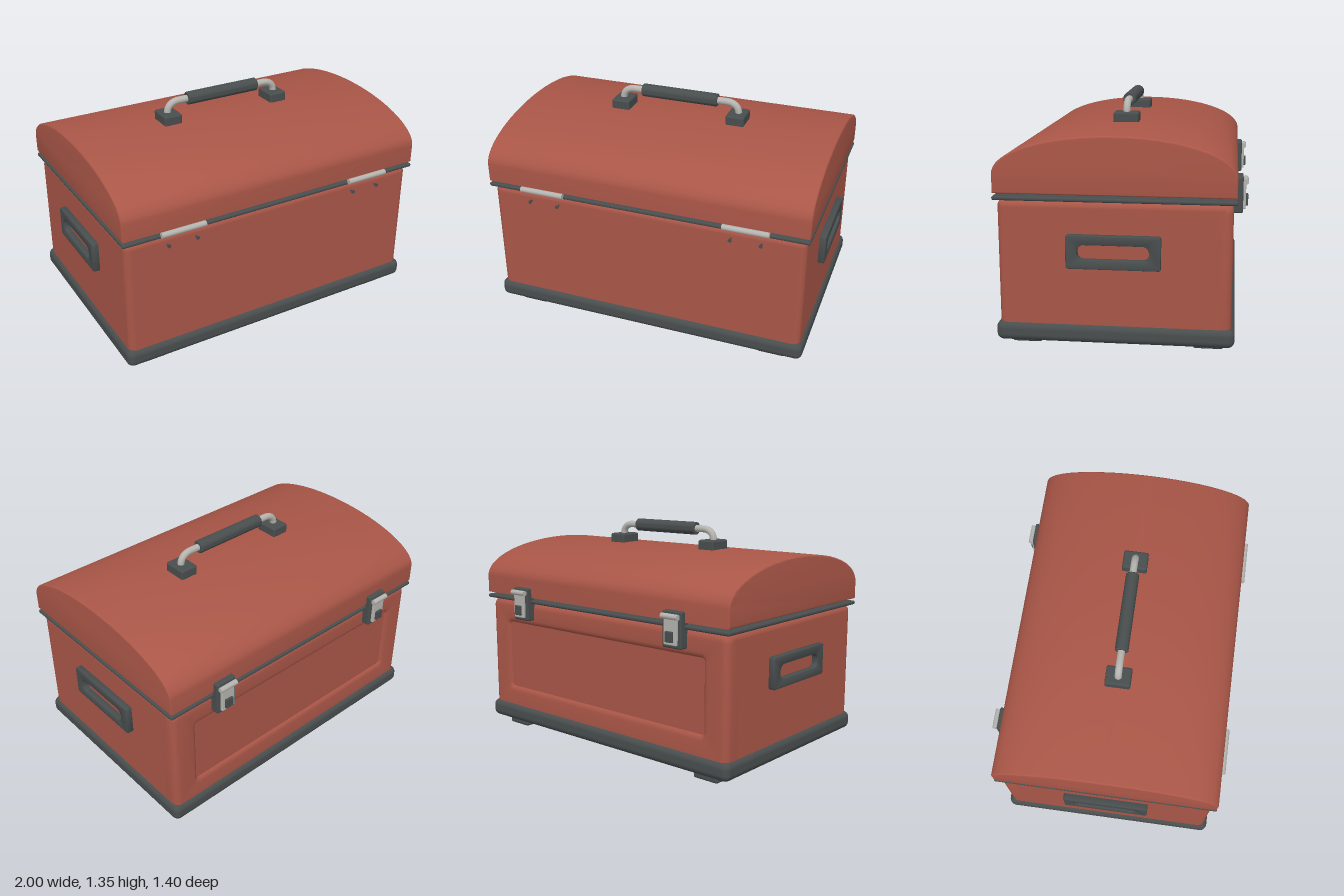
import * as THREE from 'three';
import { toCreasedNormals } from 'three/addons/utils/BufferGeometryUtils.js';
import { RoundedBoxGeometry } from 'three/addons/geometries/RoundedBoxGeometry.js';

const ZC = 0.017; // middle of the case, front to back

function roundedRect(path, x0, y0, x1, y1, r) {
  path.moveTo(x0 + r, y0);
  path.lineTo(x1 - r, y0);
  path.absarc(x1 - r, y0 + r, r, -Math.PI / 2, 0, false);
  path.lineTo(x1, y1 - r);
  path.absarc(x1 - r, y1 - r, r, 0, Math.PI / 2, false);
  path.lineTo(x0 + r, y1);
  path.absarc(x0 + r, y1 - r, r, Math.PI / 2, Math.PI, false);
  path.lineTo(x0, y0 + r);
  path.absarc(x0 + r, y0 + r, r, Math.PI, Math.PI * 1.5, false);
  return path;
}

export function createModel() {
  const red = new THREE.MeshStandardMaterial({ color: 0xa95647 });
  red.name = 'red paint';
  const dark = new THREE.MeshStandardMaterial({ color: 0x484d4e });
  dark.name = 'dark plastic';
  const steel = new THREE.MeshStandardMaterial({ color: 0xb4b3ae });
  steel.name = 'steel';

  const model = new THREE.Group();
  model.name = 'toolChest';

  const add = (name, geometry, material, x = 0, y = 0, z = 0, parent = model) => {
    const mesh = new THREE.Mesh(geometry, material);
    mesh.name = name;
    mesh.position.set(x, y, z);
    parent.add(mesh);
    return mesh;
  };

  // Rounded box given by its limits on each axis
  const block = (name, material, [x0, x1], [y0, y1], [z0, z1], r, parent = model) =>
    add(name, new RoundedBoxGeometry(x1 - x0, y1 - y0, z1 - z0, 4, r), material,
      (x0 + x1) / 2, (y0 + y1) / 2, (z0 + z1) / 2, parent);

  const extrude = (shape, depth, bevel, segments) => toCreasedNormals(
    new THREE.ExtrudeGeometry(shape, {
      depth, bevelEnabled: true, bevelSize: bevel, bevelThickness: bevel,
      bevelSegments: segments, curveSegments: 8,
    }), 0.6);

  // Base tray and feet
  block('baseTray', dark, [-0.98, 0.98], [0.045, 0.155], [-0.64, 0.675], 0.04);
  for (const x of [-0.785, 0.785]) {
    for (const z of [-0.495, 0.525]) {
      block('foot', dark, [x - 0.085, x + 0.085], [0, 0.07], [z - 0.085, z + 0.085], 0.015);
    }
  }

  // Body, with a frame around the sunken panel on the latch side
  block('body', red, [-0.96, 0.96], [0.1, 0.845], [-0.604, 0.655], 0.04);
  const frame = roundedRect(new THREE.Shape(), -0.92, 0.14, 0.92, 0.805, 0.012);
  frame.holes.push(roundedRect(new THREE.Path(), -0.83, 0.24, 0.83, 0.73, 0.05));
  add('panelFrame', extrude(frame, 0.05, 0.04, 5), red, 0, 0, -0.58);

  // Seal between body and lid
  block('seal', dark, [-0.98, 0.98], [0.843, 0.866], [-0.64, 0.675], 0.01);

  // Domed lid: side walls with a half ellipse on top
  const b = 0.01, half = 0.655 - b, wallTop = 0.985;
  const dome = new THREE.Shape();
  dome.moveTo(-half, 0.88 + b);
  dome.lineTo(half, 0.88 + b);
  for (let i = 0; i <= 48; i++) {
    const a = (i / 48) * Math.PI;
    dome.lineTo(half * Math.cos(a), wallTop + (1.2 - b - wallTop) * Math.sin(a));
  }
  const lid = add('lid', extrude(dome, 1.96 - 2 * b, b, 3), red, -0.98 + b, 0, ZC);
  lid.rotation.y = Math.PI / 2;

  // Carrying handle
  const handle = new THREE.Group();
  handle.name = 'carryHandle';
  model.add(handle);
  const HZ = 0.015, HY = 1.315;
  for (const s of [-1, 1]) {
    block('handleMount', dark, [s * 0.365 - 0.057, s * 0.365 + 0.057], [1.19, 1.255],
      [HZ - 0.074, HZ + 0.074], 0.012, handle);
    const path = new THREE.CurvePath();
    const v = (x, y) => new THREE.Vector3(s * x, y, HZ);
    path.add(new THREE.LineCurve3(v(0.37, 1.23), v(0.37, 1.25)));
    path.add(new THREE.CubicBezierCurve3(v(0.37, 1.25), v(0.37, 1.29), v(0.34, HY), v(0.295, HY)));
    path.add(new THREE.LineCurve3(v(0.295, HY), v(0.2, HY)));
    add('handleBar', new THREE.TubeGeometry(path, 24, 0.021, 16), steel, 0, 0, 0, handle);
  }
  const gripProfile = [[0, -0.24], [0.034, -0.24], [0.039, -0.235], [0.039, 0.235], [0.034, 0.24], [0, 0.24]]
    .map(([r, y]) => new THREE.Vector2(r, y));
  const grip = add('handleGrip', toCreasedNormals(new THREE.LatheGeometry(gripProfile, 28), 0.6),
    dark, 0, HY, HZ, handle);
  grip.rotation.z = Math.PI / 2;

  // Side grips with a slot
  const plate = roundedRect(new THREE.Shape(), -0.25, -0.086, 0.25, 0.086, 0.006);
  plate.holes.push(roundedRect(new THREE.Path(), -0.201, -0.048, 0.201, 0.048, 0.042));
  const plateGeometry = extrude(plate, 0.03, 0.007, 2);
  for (const s of [-1, 1]) {
    const side = add('sideGrip', plateGeometry, dark, s * 0.963, 0.572, ZC);
    side.rotation.y = s * Math.PI / 2;
  }

  // Hinges and their screws
  for (const s of [-1, 1]) {
    const pin = add('hinge', new THREE.CylinderGeometry(0.017, 0.017, 0.27, 16), steel,
      s * 0.622, 0.868, 0.684);
    pin.rotation.z = Math.PI / 2;
    for (const x of [0.533, 0.71]) {
      const shank = add('screwShank', new THREE.CylinderGeometry(0.006, 0.006, 0.03, 12), dark,
        s * x, 0.785, 0.66);
      const head = add('screwHead', new THREE.CylinderGeometry(0.011, 0.009, 0.01, 16), dark,
        s * x, 0.785, 0.676);
      shank.rotation.x = head.rotation.x = Math.PI / 2;
    }
  }

  // Latches
  for (const s of [-1, 1]) {
    const latch = new THREE.Group();
    latch.name = 'latch';
    latch.position.x = s * 0.62;
    model.add(latch);
    block('latchPlate', dark, [-0.067, 0.067], [0.735, 0.94], [-0.67, -0.61], 0.01, latch);
    block('latchLever', steel, [-0.045, 0.045], [0.755, 0.91], [-0.685, -0.66], 0.005, latch);
    block('latchButton', dark, [-0.026, 0.026], [0.772, 0.832], [-0.698, -0.68], 0.004, latch);
    const roller = add('latchRoller', new THREE.CylinderGeometry(0.016, 0.016, 0.116, 16), steel,
      0, 0.912, -0.683, latch);
    roller.rotation.z = Math.PI / 2;
  }

  return model;
}
